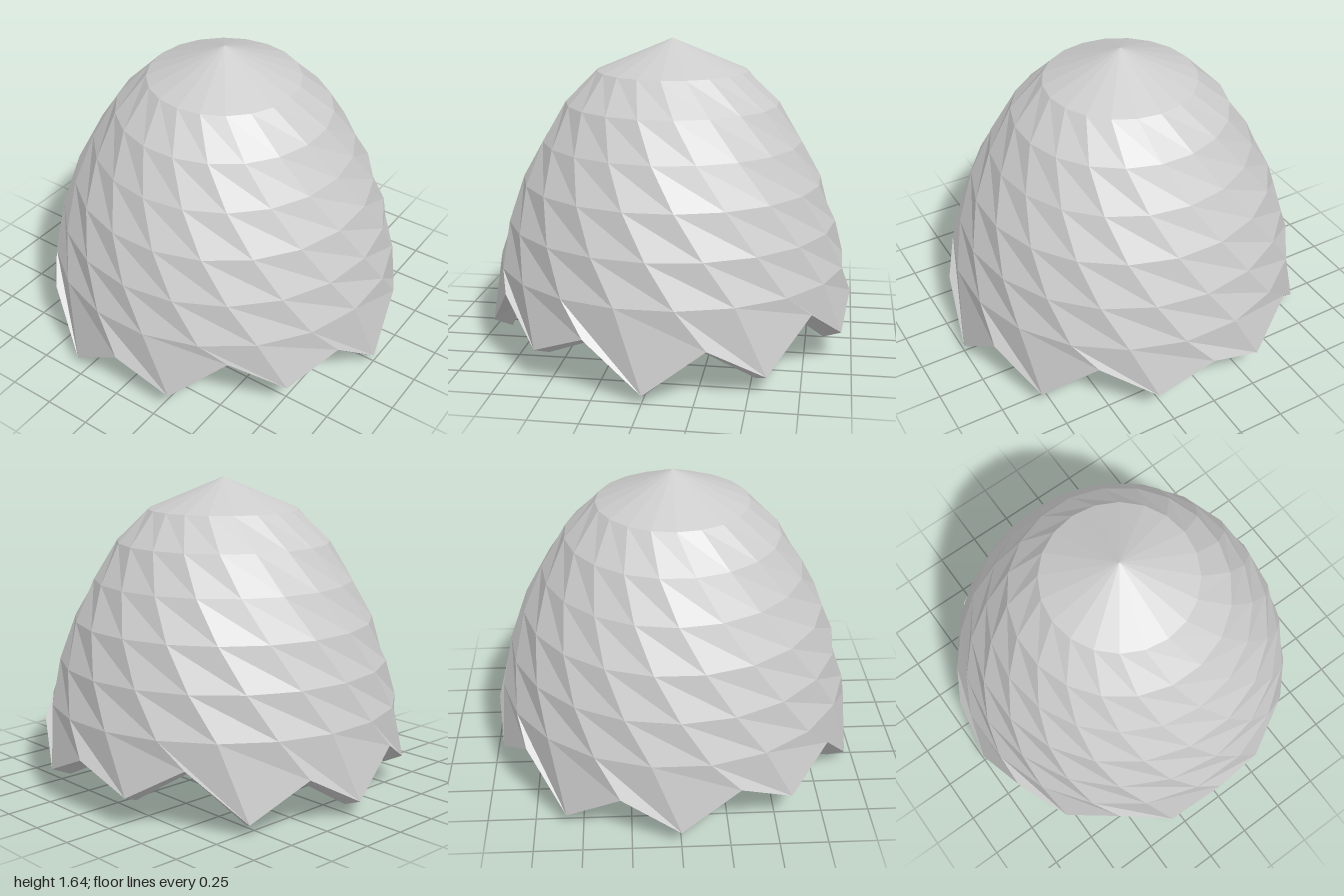
import * as THREE from 'three';

const SIDES = 20;
const STEP = (Math.PI * 2) / SIDES;

// Profile rings [radius, height] from crown to just above the broken edge
const OUTER = [[0.405, 1.48], [0.575, 1.31], [0.7, 1.11], [0.81, 0.9], [0.89, 0.68], [0.947, 0.46]];
const INNER = [[0.35, 1.385], [0.495, 1.235], [0.61, 1.055], [0.712, 0.86], [0.79, 0.65], [0.846, 0.435]];

// Height of the jagged edge at each step round, starting at the front and turning towards +x
const RIM = [0.045, 0.265, 0.095, 0.345, 0.155, 0.287, 0.16, 0.33, 0.07, 0.26,
  0.09, 0.3, 0.15, 0.32, 0.055, 0.255, 0.12, 0.37, 0.165, 0.29];

const polar = (r, y, a) => new THREE.Vector3(r * Math.sin(a), y, r * Math.cos(a));

// Every ring is turned half a step from the one above; the last ring is the jagged edge
function makeRings(profile, inset, drop) {
  const rings = profile.map(([r, y], k) =>
    Array.from({ length: SIDES }, (_, i) => polar(r, y, (i + k / 2) * STEP)));
  rings.push(Array.from({ length: SIDES }, (_, i) => {
    const n = (i + profile.length / 2) % SIDES;
    const r = 1.003 - 0.07 * RIM[n] - inset;
    return polar(r, RIM[n] - drop, n * STEP);
  }));
  return rings;
}

// Faceted surface from a list of triangle corners
function facetMesh(points, material, name) {
  const geometry = new THREE.BufferGeometry().setFromPoints(points);
  geometry.computeVertexNormals();
  const mesh = new THREE.Mesh(geometry, material);
  mesh.name = name;
  return mesh;
}

// Dome with skewed triangles; flipped for the inside
function domePoints(rings, apexY, flip) {
  const points = [];
  const tri = (a, b, c) => (flip ? points.push(a, c, b) : points.push(a, b, c));
  const apex = new THREE.Vector3(0, apexY, 0);
  for (let i = 0; i < SIDES; i++) {
    const j = (i + 1) % SIDES;
    tri(apex, rings[0][i], rings[0][j]);
    for (let k = 0; k < rings.length - 1; k++) {
      const top = rings[k], low = rings[k + 1];
      tri(top[i], low[i], low[j]);
      tri(top[i], low[j], top[j]);
    }
  }
  return points;
}

export function createModel() {
  const group = new THREE.Group();
  group.name = 'brokenEggshell';
  const shell = new THREE.MeshStandardMaterial({ color: 0xcccccc });
  shell.name = 'shell grey';

  const outer = makeRings(OUTER, 0, 0);
  const inner = makeRings(INNER, 0.1, 0.04);
  group.add(facetMesh(domePoints(outer, 1.65, false), shell, 'outerShell'));
  group.add(facetMesh(domePoints(inner, 1.54, true), shell, 'innerShell'));

  // Thickness of the shell along the jagged edge
  const o = outer.at(-1), n = inner.at(-1), rim = [];
  for (let i = 0; i < SIDES; i++) {
    const j = (i + 1) % SIDES;
    rim.push(o[i], n[i], n[j], o[i], n[j], o[j]);
  }
  group.add(facetMesh(rim, shell, 'brokenRim'));
  return group;
}
